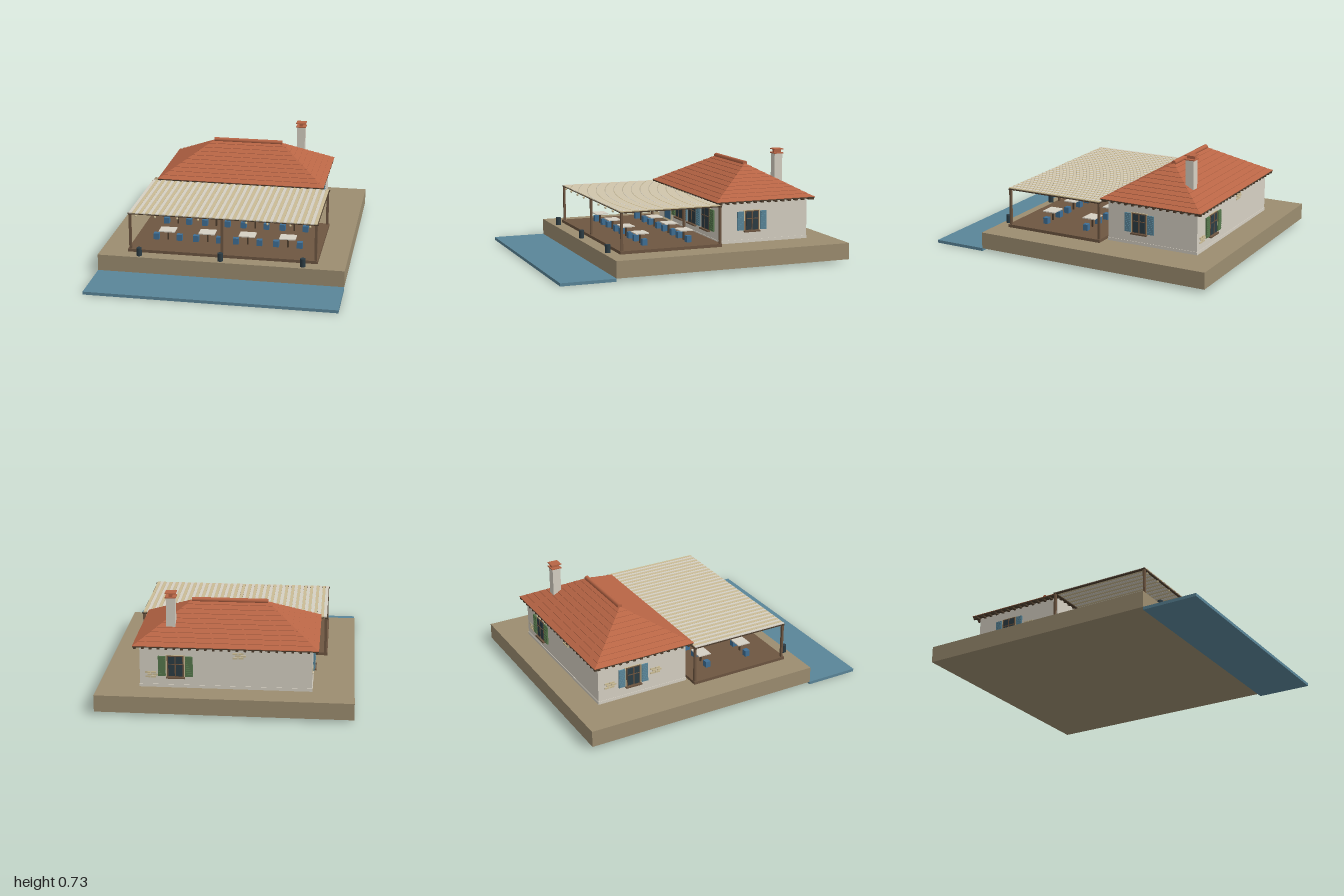
import * as THREE from 'three';

const mat = (name, color) => Object.assign(new THREE.MeshStandardMaterial({ color }), { name });

export function createModel() {
  const M = {
    stone: mat('sand stone', 0x9c8d70), water: mat('water', 0x5a8699), plaster: mat('cream plaster', 0xd6d0c3),
    tile: mat('terracotta', 0xb86545), wood: mat('brown wood', 0x6e5641), beam: mat('dark wood', 0x4d3d2d),
    tan: mat('tan cane', 0xcbbc95), blue: mat('deep blue', 0x3f6f95), glass: mat('dark glass', 0x2c3c44),
    green: mat('shutter green', 0x55764b),
  };
  const root = new THREE.Group();
  root.name = 'terraceHouse';

  const add = (parent, name, geo, m, x, y, z) => {
    const o = new THREE.Mesh(geo, m);
    o.name = name;
    o.position.set(x, y, z);
    parent.add(o);
    return o;
  };
  // Box given by its minimum and maximum on every axis
  const span = (parent, name, m, x0, x1, y0, y1, z0, z1) =>
    add(parent, name, new THREE.BoxGeometry(x1 - x0, y1 - y0, z1 - z0), m, (x0 + x1) / 2, (y0 + y1) / 2, (z0 + z1) / 2);
  const box = (parent, name, m, w, h, d, x, y, z) =>
    add(parent, name, new THREE.BoxGeometry(w, h, d), m, x, y, z);
  const group = (name, x = 0, y = 0, z = 0, ry = 0) => {
    const g = new THREE.Group();
    g.name = name;
    g.position.set(x, y, z);
    g.rotation.y = ry;
    root.add(g);
    return g;
  };

  // Ground and water
  span(root, 'quay', M.stone, -0.82, 0.82, 0.02, 0.13, -1, 0.635);
  span(root, 'water', M.water, -0.82, 0.82, 0, 0.02, 0.635, 1);

  // House body
  span(root, 'walls', M.plaster, -0.55, 0.55, 0.13, 0.41, -0.82, -0.18);
  span(root, 'plinth', M.plaster, -0.553, 0.553, 0.13, 0.15, -0.823, -0.177);
  span(root, 'eaveBoard', M.beam, -0.588, 0.588, 0.408, 0.417, -0.858, -0.142);

  // Rafter tails under the eaves
  const tails = group('rafterTails');
  for (let i = 0; i < 24; i++) {
    const x = -0.575 + i * 0.05;
    for (const z of [-0.16, -0.84]) box(tails, 'rafterTail', M.beam, 0.016, 0.012, 0.035, x, 0.403, z);
  }
  for (let i = 0; i < 14; i++) {
    const z = -0.825 + i * 0.05;
    for (const x of [-0.57, 0.57]) box(tails, 'rafterTail', M.beam, 0.035, 0.012, 0.016, x, 0.403, z);
  }

  // Hipped roof laid in overlapping courses
  const courses = 10, pos = [];
  const ring = (t, lift) => {
    const w = 0.59 - 0.345 * t, d = 0.36 * (1 - t), y = 0.415 + 0.203 * t + lift;
    return [[-w, y, -0.5 + d], [w, y, -0.5 + d], [w, y, -0.5 - d], [-w, y, -0.5 - d]];
  };
  const band = (a, b) => {
    for (let k = 0; k < 4; k++) {
      const n = (k + 1) % 4;
      pos.push(...a[k], ...a[n], ...b[n], ...a[k], ...b[n], ...b[k]);
    }
  };
  for (let i = 0; i < courses; i++) {
    const low = ring(i / courses, 0.003);
    band(ring(i / courses, 0), low);
    band(low, ring((i + 1) / courses, 0));
  }
  const roofGeo = new THREE.BufferGeometry();
  roofGeo.setAttribute('position', new THREE.Float32BufferAttribute(pos, 3));
  roofGeo.computeVertexNormals();
  add(root, 'roof', roofGeo, M.tile, 0, 0, 0);
  add(root, 'ridgeCap', new THREE.CylinderGeometry(0.016, 0.016, 0.495, 12), M.tile, 0, 0.62, -0.5).rotation.z = Math.PI / 2;

  // Chimney
  span(root, 'chimneyStack', M.plaster, 0.332, 0.39, 0.45, 0.695, -0.712, -0.655);
  box(root, 'chimneyLedge', M.tile, 0.07, 0.007, 0.07, 0.361, 0.697, -0.684);
  box(root, 'chimneyVent', M.tile, 0.024, 0.022, 0.054, 0.361, 0.711, -0.684);
  box(root, 'chimneyCap', M.tile, 0.07, 0.006, 0.07, 0.361, 0.724, -0.684);

  // Window facing its own +z, with optional shutters on its left and right
  const shutter = (g, m, x, w, h) => {
    box(g, 'shutter', m, w, h, 0.01, x, 0, 0.006);
    for (let i = 0; i < 9; i++) box(g, 'louvre', m, w * 0.8, h * 0.035, 0.004, x, (i - 4) * h * 0.1, 0.012);
  };
  const windowAt = (x, y, z, ry, w, h, sw, left, right) => {
    const g = group('window', x, y, z, ry);
    box(g, 'trim', M.tan, w + 0.034, h + 0.02, 0.006, 0, 0, 0.002);
    box(g, 'frame', M.wood, w + 0.018, h + 0.012, 0.008, 0, 0, 0.004);
    box(g, 'glass', M.glass, w, h, 0.008, 0, 0, 0.006);
    box(g, 'mullion', M.wood, 0.007, h, 0.006, 0, 0, 0.01);
    box(g, 'crossbar', M.wood, w, 0.005, 0.006, 0, h * 0.12, 0.01);
    box(g, 'sill', M.wood, w + 0.03, 0.01, 0.022, 0, -h / 2 - 0.01, 0.01);
    const off = w / 2 + sw / 2 + 0.018;
    if (left) shutter(g, left, -off, sw, h + 0.004);
    if (right) shutter(g, right, off, sw, h + 0.004);
  };
  windowAt(-0.145, 0.272, -0.18, 0, 0.115, 0.14, 0.064, M.green, M.water);
  windowAt(0.09, 0.272, -0.18, 0, 0.115, 0.14, 0.064, null, M.water);
  windowAt(0.325, 0.272, -0.18, 0, 0.115, 0.14, 0.064, null, M.green);
  windowAt(0.55, 0.277, -0.41, Math.PI / 2, 0.085, 0.122, 0.045, M.water, M.water);
  windowAt(-0.55, 0.277, -0.57, -Math.PI / 2, 0.085, 0.122, 0.045, M.water, M.water);
  windowAt(0.32, 0.275, -0.82, Math.PI, 0.09, 0.13, 0.048, M.green, M.green);

  // Front door and wall lantern
  const door = group('door', -0.365, 0.13, -0.18);
  box(door, 'doorTrim', M.tan, 0.145, 0.222, 0.008, 0, 0.111, 0.003);
  box(door, 'doorLeaf', M.blue, 0.108, 0.205, 0.012, 0, 0.102, 0.004);
  for (const s of [-1, 1]) {
    box(door, 'doorPane', M.glass, 0.038, 0.022, 0.004, s * 0.026, 0.185, 0.01);
    box(door, 'doorPanel', M.blue, 0.038, 0.06, 0.005, s * 0.026, 0.125, 0.011);
  }
  box(door, 'doorStep', M.stone, 0.14, 0.028, 0.04, 0, 0.014, 0.02);
  box(root, 'lanternArm', M.beam, 0.006, 0.006, 0.028, -0.278, 0.358, -0.166);
  box(root, 'lantern', M.tan, 0.018, 0.024, 0.018, -0.278, 0.345, -0.155);

  // Patches of bare stone in the plaster
  const patch = (x, y, z, ry) => {
    const g = group('stonePatch', x, y, z, ry);
    for (let r = 0; r < 3; r++)
      for (let c = 0; c < 2; c++)
        box(g, 'bareStone', M.tan, 0.032, 0.011, 0.006, (c - 0.5) * 0.037 + (r % 2) * 0.014, (r - 1) * 0.015, 0.002);
  };
  patch(0.48, 0.215, -0.82, Math.PI);
  patch(-0.08, 0.355, -0.82, Math.PI);
  patch(-0.55, 0.25, -0.74, -Math.PI / 2);
  patch(-0.55, 0.27, -0.41, -Math.PI / 2);

  // Terrace deck and pergola
  span(root, 'deck', M.wood, -0.635, 0.635, 0.13, 0.15, -0.16, 0.545);
  const pergola = group('pergola');
  for (const x of [-0.62, 0, 0.62])
    for (const z of [-0.15, 0.53]) box(pergola, 'post', M.wood, 0.017, 0.245, 0.014, x, 0.272, z);
  for (const z of [-0.15, 0.53]) box(pergola, 'crossBeam', M.beam, 1.27, 0.007, 0.014, 0, 0.396, z);
  for (const x of [-0.622, 0, 0.622]) box(pergola, 'sideBeam', M.beam, 0.016, 0.007, 0.7, x, 0.396, 0.19);
  const slats = 56, pitch = 1.255 / slats;
  for (let i = 0; i < slats; i++)
    box(pergola, 'slat', i % 2 ? M.tan : M.plaster, pitch * 0.92, 0.006, 0.69, -0.6275 + (i + 0.5) * pitch, 0.402, 0.195);
  for (const x of [0.16, 0.3, 0.45, 0.58])
    for (const s of [-1, 1])
      add(pergola, 'bulb', new THREE.SphereGeometry(0.008, 8, 6), M.tan, s * x, 0.38, 0.53);

  // Tables with a stool at each end
  for (const z of [0.02, 0.33])
    for (const x of [-0.41, -0.137, 0.137, 0.41]) {
      const set = group('tableSet', x, 0.15, z);
      box(set, 'tableTop', M.plaster, 0.11, 0.007, 0.09, 0, 0.07, 0);
      box(set, 'tableLeg', M.beam, 0.01, 0.068, 0.01, 0, 0.034, 0);
      for (const s of [-1, 1]) box(set, 'stool', M.blue, 0.038, 0.042, 0.034, s * 0.08, 0.021, 0);
    }

  // Mooring bollards on the quay edge
  for (const x of [-0.545, 0, 0.545])
    add(root, 'bollard', new THREE.CylinderGeometry(0.018, 0.018, 0.055, 12), M.glass, x, 0.157, 0.6);

  return root;
}
